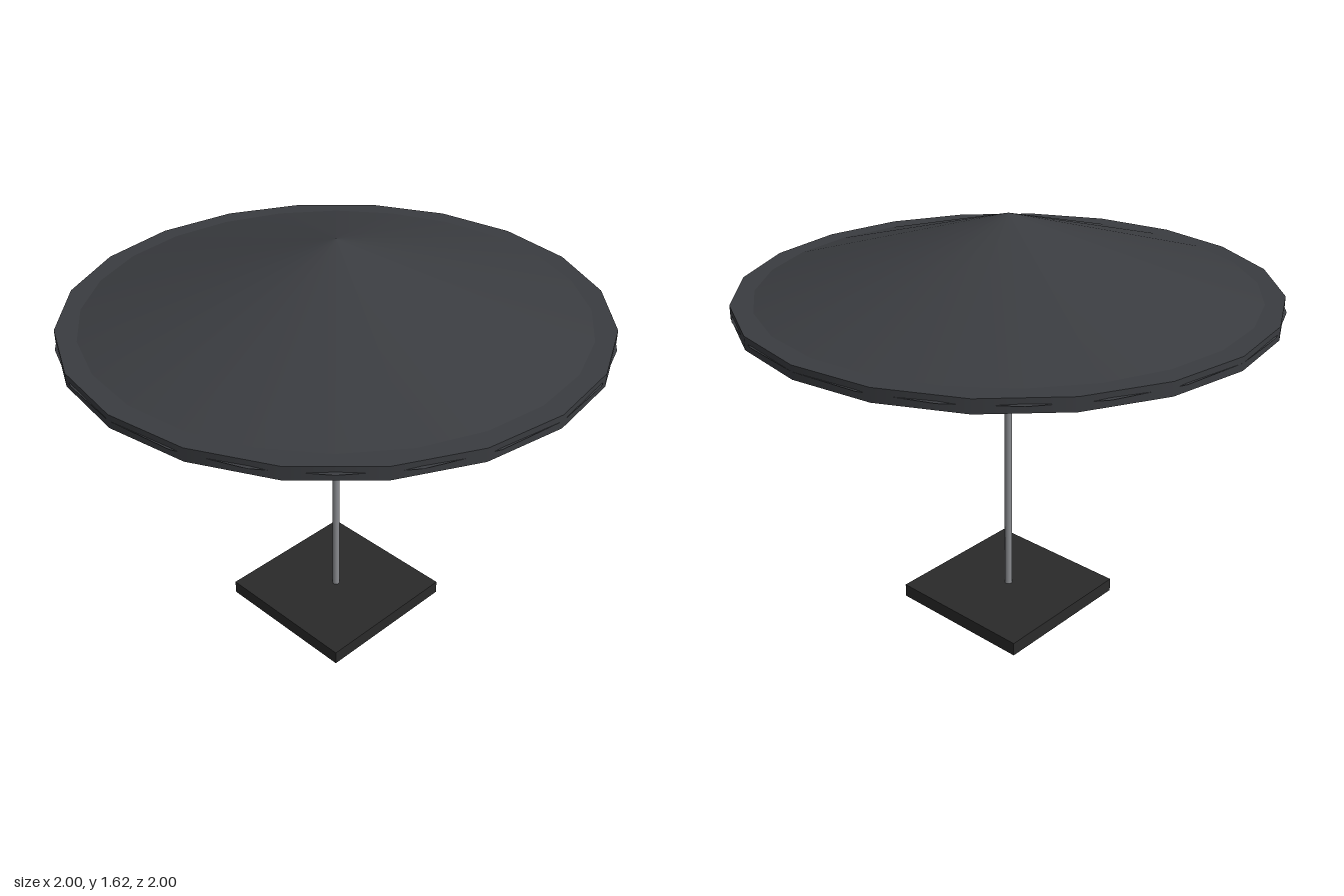
import * as THREE from 'three';

export function createModel() {
  const model = new THREE.Group();
  const fabric = new THREE.MeshStandardMaterial({ color: 0x3a3c40 });
  const metal = new THREE.MeshStandardMaterial({ color: 0x8a8c90 });
  const stone = new THREE.MeshStandardMaterial({ color: 0x2a2a2a });

  // Adds a mesh centred between two heights
  const add = (name, geometry, material, bottom, top) => {
    const mesh = new THREE.Mesh(geometry, material);
    mesh.name = name;
    mesh.position.y = (bottom + top) / 2;
    model.add(mesh);
  };

  // Square foot
  add('base', new THREE.BoxGeometry(0.6, 0.055, 0.6), stone, 0, 0.055);

  // Slim upright running into the canopy
  add('pole', new THREE.CylinderGeometry(0.015, 0.015, 1.27, 12), metal, 0.04, 1.31);

  // Flat rim disc, with the shallow cone rising out of it
  add('canopyRim', new THREE.CylinderGeometry(1, 1, 0.05, 20), fabric, 1.29, 1.34);
  add('canopy', new THREE.ConeGeometry(1, 0.3, 24), fabric, 1.317, 1.617);

  return model;
}
